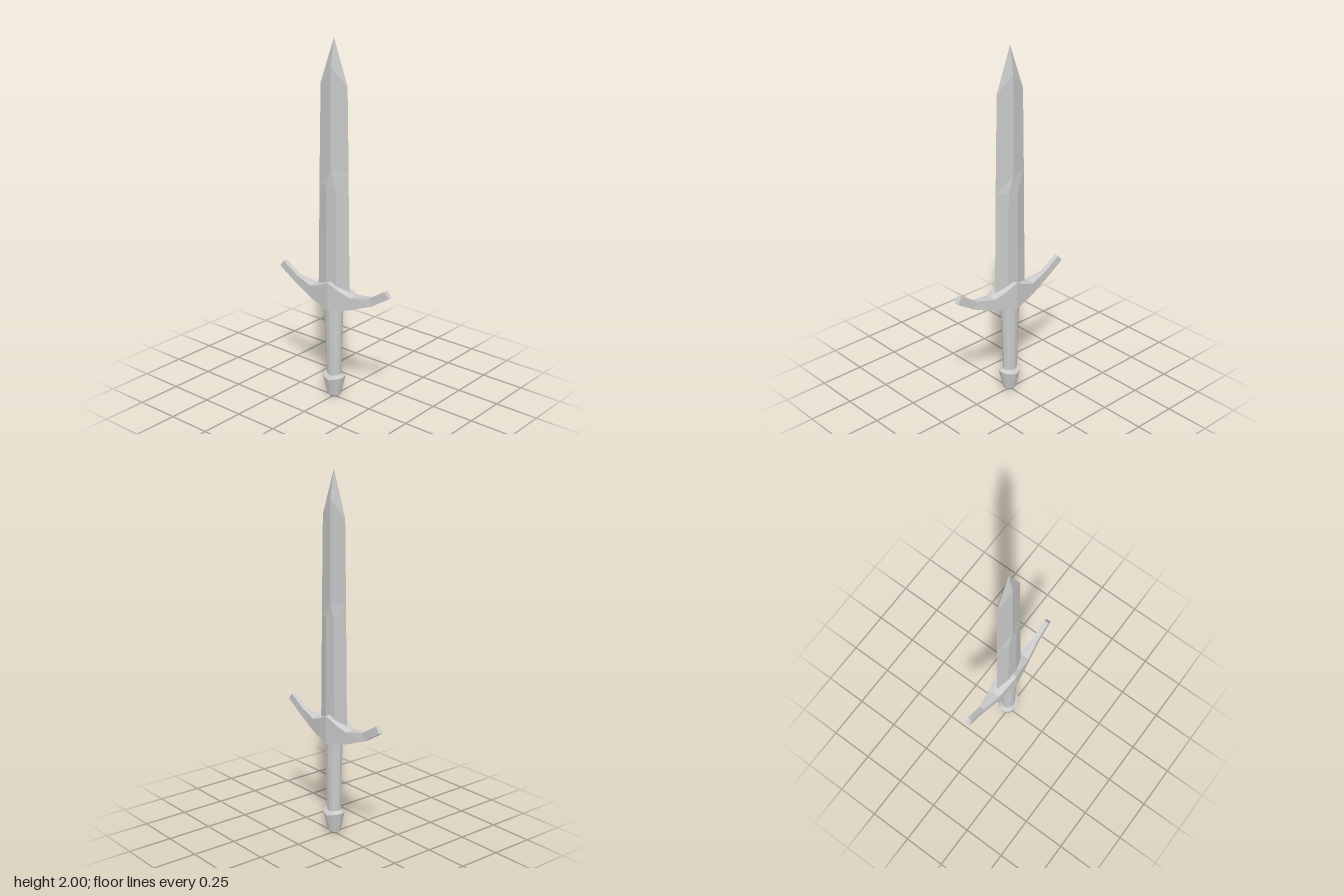
import * as THREE from 'three';

const material = new THREE.MeshStandardMaterial({ color: 0xcccccc, flatShading: true });

// Skin a list of equal-length rings (counter-clockwise about the travel direction), capped at both ends.
function loft(name, rings) {
  const n = rings[0].length, pos = rings.flat(2), index = [];
  for (let i = 0; i < rings.length - 1; i++) {
    for (let j = 0; j < n; j++) {
      const a = i * n + j, b = i * n + (j + 1) % n;
      index.push(a, b, b + n, a, b + n, a + n);
    }
  }
  const last = (rings.length - 1) * n;
  for (let j = 1; j < n - 1; j++) {
    index.push(0, j + 1, j, last, last + j, last + j + 1);
  }
  const geometry = new THREE.BufferGeometry();
  geometry.setAttribute('position', new THREE.Float32BufferAttribute(pos, 3));
  geometry.setIndex(index);
  const flat = geometry.toNonIndexed();
  flat.computeVertexNormals();
  const mesh = new THREE.Mesh(flat, material);
  mesh.name = name;
  return mesh;
}

// Elliptical ring around y; lift raises the left and right sides.
function oval(y, rx, rz, sides, lift = 0) {
  return Array.from({ length: sides }, (_, k) => {
    const t = (k / sides) * Math.PI * 2;
    return [rx * Math.cos(t), y + lift * Math.abs(Math.cos(t)), -rz * Math.sin(t)];
  });
}

function createBlade() {
  // edge half width, edge height, half width of the flat, its height, half thickness
  const sections = [
    [0.11, 0.6, 0.036, 0.6, 0.026],
    [0.1, 1.22, 0.032, 1.22, 0.026],
    [0.099, 1.31, 0.002, 1.31, 0.025],
    [0.09, 1.76, 0.001, 1.85, 0.024],
    [0.0005, 2, 0.0002, 2, 0.0005],
  ];
  return loft('blade', sections.map(([e, ey, f, fy, z]) => [
    [e, ey, 0], [f, fy, -z], [-f, fy, -z], [-e, ey, 0], [-f, fy, z], [f, fy, z],
  ]));
}

function createGuard() {
  // top x, top y, bottom x, bottom y, half depth, extra height of the centre line
  const half = [
    [0, 0.69, 0, 0.53, 0.055, 0],
    [0.07, 0.656, 0.07, 0.547, 0.044, 0.009],
    [0.14, 0.632, 0.14, 0.564, 0.034, 0.003],
    [0.25, 0.655, 0.27, 0.615, 0.015, 0],
    [0.355, 0.72, 0.382, 0.685, 0.013, 0],
  ];
  const mirrored = half.slice(1).reverse().map(([tx, ty, bx, by, z, r]) => [-tx, ty, -bx, by, z, r]);
  return loft('crossguard', [...mirrored, ...half].map(([tx, ty, bx, by, z, r]) => [
    [tx, ty, -z], [tx, ty + r, 0], [tx, ty, z],
    [bx, by, z], [bx, by - r * 0.6, 0], [bx, by, -z],
  ]));
}

export function createModel() {
  const group = new THREE.Group();
  group.name = 'sword';
  group.add(createBlade(), createGuard());

  // Tapered oval grip
  group.add(loft('grip', [
    oval(0.12, 0.043, 0.034, 12),
    oval(0.3, 0.048, 0.038, 12),
    oval(0.56, 0.057, 0.042, 12),
  ]));

  // Pommel with a rim that dips at front and back
  group.add(loft('pommel', [
    oval(0, 0.022, 0.018, 12),
    oval(0.015, 0.041, 0.031, 12),
    oval(0.113, 0.07, 0.052, 12, 0.02),
    oval(0.135, 0.045, 0.036, 12, 0.007),
  ]));
  return group;
}
